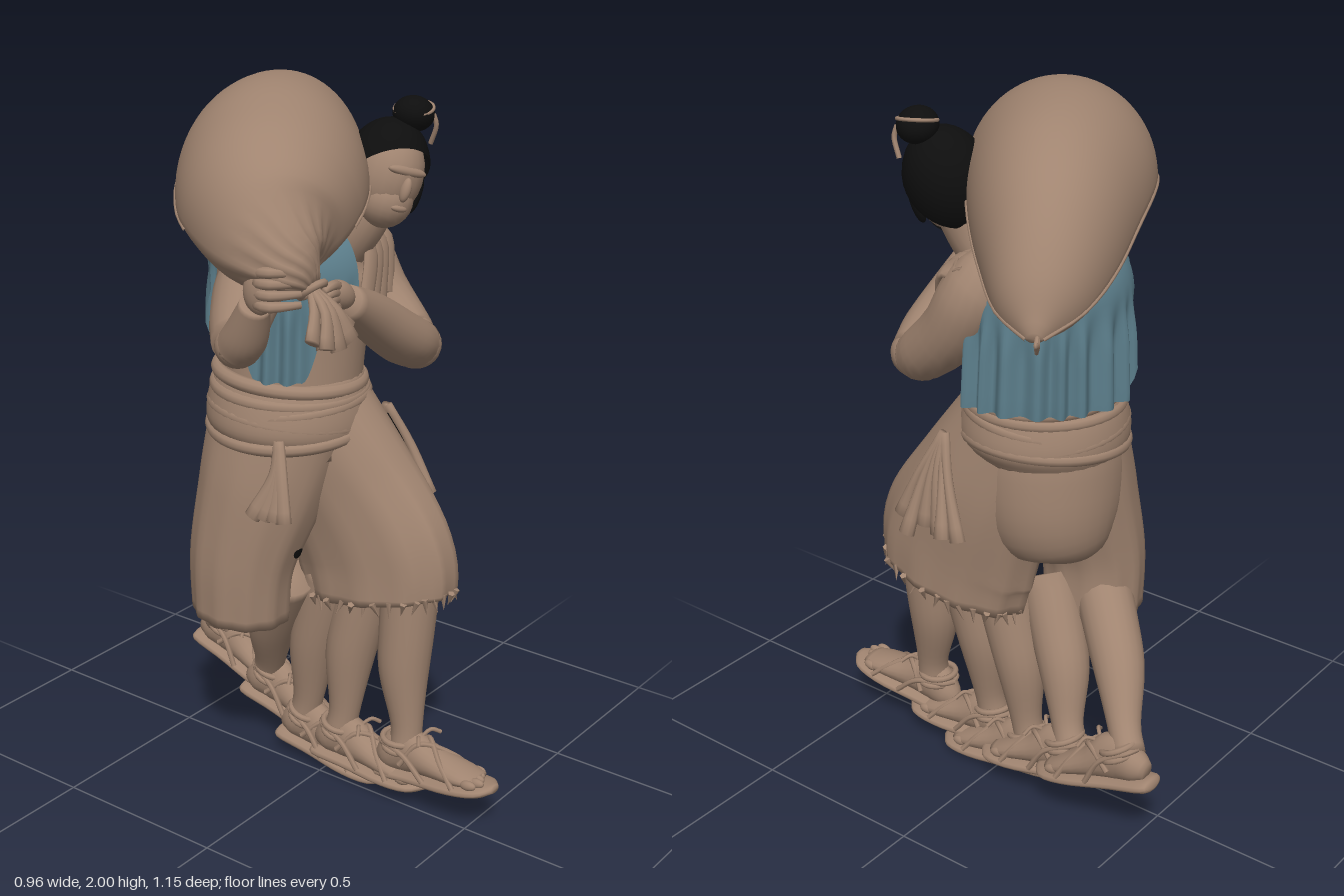
import * as THREE from 'three';

const V = (x, y, z) => new THREE.Vector3(x, y, z);
const brown = new THREE.MeshStandardMaterial({ color: 0xa08470 });
const black = new THREE.MeshStandardMaterial({ color: 0x0e0e0e, side: THREE.DoubleSide });
const blue = new THREE.MeshStandardMaterial({ color: 0x5b7d8a, side: THREE.DoubleSide });
brown.name = 'earth brown'; black.name = 'hair black'; blue.name = 'cloth blue';

const UP = V(0, 1, 0), FWD = V(0, 0, 1);

function add(parent, name, geometry, material = brown, pos, rot) {
  const m = new THREE.Mesh(geometry, material);
  m.name = name;
  if (pos) m.position.set(...pos);
  if (rot) m.rotation.set(...rot);
  parent.add(m);
  return m;
}
function ball(parent, name, pos, size, material = brown, rot) {
  return add(parent, name, new THREE.SphereGeometry(1, 20, 14).scale(...size), material, pos, rot);
}

// Surface point of a tube through sections [x, y, z, halfWidth, halfDepth]
function skin(sections, ref, mod = () => 1) {
  const path = new THREE.CatmullRomCurve3(sections.map(s => V(s[0], s[1], s[2])), false, 'catmullrom');
  const size = new THREE.CatmullRomCurve3(sections.map(s => V(s[3], s[4] ?? s[3], 0)), false, 'catmullrom');
  return (t, a) => {
    const c = path.getPoint(t), r = size.getPoint(t), d = path.getTangent(t);
    const s = ref.clone().cross(d).normalize(), u = d.clone().cross(s), k = mod(t, a);
    return c.addScaledVector(s, r.x * k * Math.cos(a)).addScaledVector(u, r.y * k * Math.sin(a));
  };
}
function loft(sections, { ref = FWD, sides = 20, steps = 16, mod } = {}) {
  const f = skin(sections, ref, mod), pos = [], idx = [];
  for (let k = 0; k <= steps; k++)
    for (let i = 0; i < sides; i++) pos.push(...f(k / steps, i / sides * Math.PI * 2).toArray());
  const last = sections[sections.length - 1], c0 = pos.length / 3, c1 = c0 + 1;
  pos.push(...sections[0].slice(0, 3), ...last.slice(0, 3));
  for (let i = 0; i < sides; i++) {
    const j = (i + 1) % sides, e = steps * sides;
    for (let k = 0; k < steps; k++) {
      const a = k * sides + i, b = k * sides + j;
      idx.push(a, b, a + sides, b, b + sides, a + sides);
    }
    idx.push(c0, j, i, c1, e + i, e + j);
  }
  return mesh(pos, idx);
}
function mesh(pos, idx) {
  const g = new THREE.BufferGeometry();
  g.setAttribute('position', new THREE.Float32BufferAttribute(pos, 3));
  g.setIndex(idx);
  g.computeVertexNormals();
  return g;
}
const cord = (pts, r) => new THREE.TubeGeometry(
  new THREE.CatmullRomCurve3(pts.map(p => p.isVector3 ? p : V(...p))), 24, r, 6);

function buildSack(root) {
  const sec = [[-.35, 1.58, .245, .03], [-.365, 1.615, .195, .1, .11], [-.335, 1.65, .12, .165, .19], [-.26, 1.695, .045, .22, .235],
    [-.15, 1.73, -.035, .243, .25], [-.03, 1.745, -.12, .238, .255], [.12, 1.715, -.21, .21, .255],
    [.26, 1.65, -.295, .165, .215], [.38, 1.595, -.36, .105, .125], [.455, 1.56, -.405, .02]];
  // domed top, flatter underside
  const mod = (t, a) => (Math.sin(a) < 0 ? 1 + .48 * Math.sin(a) : 1)
    * (1 + .07 * Math.sin(18 * a) * Math.max(0, 1 - t / .2));
  add(root, 'sack', loft(sec, { ref: UP, sides: 72, steps: 48, mod }));
  const f = skin(sec, UP, mod);
  for (const a of [0, Math.PI]) {
    const pts = [];
    for (let t = .3; t < 1.01; t += .05) pts.push(f(Math.min(t, 1), a));
    add(root, 'sackSeam', cord(pts, .005));
  }
  for (let i = 0; i < 3; i++)
    add(root, 'sackThread', cord([[.45, 1.57, -.41], [.46 + .005 * i, 1.555, -.42], [.44 + .015 * i, 1.52 + .015 * i, -.4 - .01 * i]], .005));
  // gathered frill and tie
  for (let i = 0; i < 7; i++) {
    const k = i / 3 - 1, lift = (i % 2) * .025;
    add(root, 'sackFrill', loft([[-.35, 1.58, .24, .012], [-.35 + .03 * k, 1.53, .275 + lift, .016, .012],
      [-.35 + .07 * k, 1.44 + .03 * k * k, .3 + lift, .028, .014]], { sides: 10, steps: 6 }));
  }
  add(root, 'sackTie', new THREE.TorusGeometry(.033, .01, 8, 20), brown, [-.35, 1.575, .245], [.9, 0, 0]);
}

function buildHead(root) {
  add(root, 'neck', loft([[.07, 1.54, -.02, .09], [.09, 1.62, .05, .078], [.115, 1.7, .09, .07]]));
  const h = new THREE.Group();
  h.name = 'head';
  h.position.set(.124, 1.752, .115);
  h.rotation.set(.1, -.38, -.25);
  root.add(h);
  ball(h, 'skull', [0, 0, 0], [.098, .125, .106]);
  ball(h, 'jaw', [0, -.06, .03], [.075, .075, .078]);
  ball(h, 'nose', [0, -.015, .106], [.014, .032, .016]);
  ball(h, 'brow', [0, .03, .09], [.06, .014, .016]);
  ball(h, 'mouth', [0, -.065, .1], [.026, .01, .012]);
  add(h, 'hair', new THREE.SphereGeometry(1, 32, 18, 0, Math.PI * 2, 0, Math.PI * .53)
    .rotateX(-.75).scale(.113, .145, .116), black);
  add(h, 'beard', new THREE.SphereGeometry(1, 28, 10, 0, Math.PI * 2, 0, Math.PI * .23)
    .rotateX(Math.PI - .35).scale(.1, .142, .118), black);
  ball(h, 'sideburn', [.087, -.03, .035], [.016, .055, .02], black);
  ball(root, 'topknot', [.185, 1.9, .16], [.055, .046, .054], black, [0, 0, -.25]);
  add(root, 'topknotTie', new THREE.TorusGeometry(.05, .005, 8, 28), brown, [.186, 1.914, .16], [Math.PI / 2 + .1, .2, 0]);
  add(root, 'topknotTieEnd', cord([[.215, 1.9, .2], [.222, 1.87, .205], [.228, 1.82, .185]], .007));
}

function buildTorso(root) {
  add(root, 'torso', loft([[0, 1, -.09, .19, .2], [0, 1.15, -.1, .185, .2], [.01, 1.3, -.1, .185, .205],
    [.03, 1.45, -.1, .21, .215], [.04, 1.54, -.09, .2, .195], [.06, 1.62, -.06, .13, .13], [.07, 1.65, -.04, .05]],
  { sides: 32, steps: 24 }));
  // pleated cloth around the back and over the right shoulder
  const pos = [], idx = [], nu = 160, nv = 16;
  const step = THREE.MathUtils.smoothstep;
  for (let i = 0; i <= nu; i++) {
    const a = -.18 + 4.68 * i / nu;
    const hem = 1.235 + .33 * step(a, 1.75, 2.15) - .32 * step(a, 3.1, 3.35) + .15 * step(a, 3.85, 4.1);
    for (let j = 0; j <= nv; j++) {
      const v = j / nv, y = THREE.MathUtils.lerp(1.635, hem, v), k = Math.min(1, (1.635 - y) / .13);
      const q = Math.sqrt(1 - (1 - k) ** 2), drop = Math.min(1, (1.635 - y) / .38);
      const fold = .014 * Math.sin(a * 24 + Math.sin(a * 7)) * (1 - step(y, 1.38, 1.52));
      pos.push(.03 + (.13 + .095 * q + fold + .03 * drop) * Math.cos(a), y, -.1 - (.13 + .11 * q + fold + .016 * drop) * Math.sin(a));
      if (i < nu && j < nv) {
        const p = i * (nv + 1) + j;
        idx.push(p, p + 1, p + nv + 1, p + 1, p + nv + 2, p + nv + 1);
      }
    }
  }
  add(root, 'shoulderCloth', mesh(pos, idx), blue);
  // folded towel on the left shoulder
  for (let i = 0; i < 4; i++)
    add(root, 'towelFold', loft([[.15 + .03 * i, 1.61 - .012 * i, -.05, .03, .01], [.11 + .04 * i, 1.56, .08 - .012 * i, .032, .011],
      [.03 + .046 * i, 1.42, .128 - .01 * i, .029, .01]], { sides: 10, steps: 10 }));
}

function buildArms(root) {
  add(root, 'leftUpperArm', loft([[.12, 1.57, -.07, .075], [.205, 1.52, -.045, .092], [.22, 1.4, .03, .084],
    [.21, 1.31, .13, .074], [.195, 1.29, .17, .064]]));
  ball(root, 'leftElbow', [.185, 1.288, .18], [.07, .066, .07]);
  add(root, 'leftForearm', loft([[.2, 1.285, .18, .064], [.1, 1.33, .195, .08, .07], [-.06, 1.43, .21, .063], [-.2, 1.51, .235, .042]], { ref: UP }));
  ball(root, 'leftPalm', [-.235, 1.535, .24], [.055, .035, .03], brown, [0, 0, -.5]);
  add(root, 'rightUpperArm', loft([[-.08, 1.51, -.1, .085], [-.18, 1.49, -.08, .092], [-.3, 1.44, -.02, .078], [-.39, 1.41, .04, .062]], { ref: UP }));
  ball(root, 'rightElbow', [-.395, 1.408, .05], [.058, .056, .058]);
  add(root, 'rightForearm', loft([[-.395, 1.405, .05, .057], [-.41, 1.45, .09, .056], [-.435, 1.54, .14, .038]]));
  ball(root, 'rightPalm', [-.445, 1.575, .16], [.026, .055, .045]);
  for (let i = 0; i < 4; i++) {
    add(root, 'leftFinger', loft([[-.25, 1.56 - .016 * i, .245, .014], [-.295, 1.575 - .018 * i, .262, .013], [-.33, 1.57 - .018 * i, .265, .008]],
      { ref: UP, sides: 8, steps: 6 }));
    add(root, 'rightFinger', loft([[-.455, 1.55 + .026 * i, .16, .014], [-.46, 1.55 + .028 * i, .205, .014], [-.4, 1.55 + .026 * i, .25, .009]],
      { ref: UP, sides: 8, steps: 6 }));
  }
}

function buildShorts(root) {
  const ripple = (t, a) => 1 + .03 * t * Math.sin(11 * a);
  const opts = { sides: 44, steps: 18, mod: ripple };
  add(root, 'leftShortsLeg', loft([[.04, 1.1, -.08, .155, .2], [.075, .9, .035, .15, .22], [.085, .72, .12, .138, .25], [.085, .595, .145, .138, .235]], opts));
  add(root, 'rightShortsLeg', loft([[-.04, 1.1, -.1, .155, .21], [-.085, .9, -.13, .155, .185], [-.13, .7, -.165, .128, .155], [-.13, .52, -.175, .125, .14]], opts));
  add(root, 'seat', loft([[0, 1.12, -.11, .19, .2], [0, 1, -.115, .205, .205], [.01, .86, -.13, .19, .185], [.0, .76, -.14, .13, .14], [0, .71, -.14, .03]],
    { sides: 32 }));
  for (let i = 0; i < 36; i++) {
    const a = i / 36 * Math.PI * 2;
    add(root, 'frayedHem', new THREE.ConeGeometry(.01, .045, 5), brown,
      [.085 + .138 * Math.cos(a), .585 + .045 * Math.sin(a), .145 + .23 * Math.sin(a)], [Math.PI + .4 * Math.sin(i * 5), 0, .4 * Math.cos(i * 3)]);
  }
  // wrapped sash
  add(root, 'sashBand', loft([[0, 1.04, -.1, .2, .21], [0, 1.09, -.1, .225, .228], [0, 1.16, -.1, .212, .222], [0, 1.225, -.1, .185, .2]], { sides: 40 }));
  for (let i = 0; i < 5; i++)
    add(root, 'sashWrap', new THREE.TorusGeometry(1, .1, 10, 56).rotateX(Math.PI / 2).scale(.208 - .005 * i, .2, .213 - .004 * i), brown,
      [0, 1.075 + .033 * i, -.1], [.09 * Math.sin(i * 2.2), 0, .1 * Math.cos(i * 2.6)]);
  // hanging sash ends on both hips
  for (let i = 0; i < 6; i++) {
    const k = i / 5;
    add(root, 'leftSashEnd', loft([[.2, 1.09, .08, .012, .016], [.235, .97, .04 + .1 * k, .014, .012],
      [.262 + .02 * Math.sin(i * 2), .82 + .03 * Math.sin(i * 3), -.01 + .2 * k, .018, .024]], { sides: 10, steps: 8 }));
    if (i < 4) add(root, 'rightSashEnd', loft([[-.2, 1.09, .02, .012, .016], [-.23, 1, .03 + .03 * k, .014, .022],
      [-.265 + .02 * k, .89, -.02 + .16 * k, .016, .024]], { sides: 10, steps: 8 }));
  }
  // dark gaps between the folds
  add(root, 'sashFoldGap', loft([[.2, 1.07, .08, .01, .012], [.23, .97, .09, .01, .055], [.243, .9, .09, .004, .06]], { sides: 12, steps: 8 }), black);
  ball(root, 'shortsFoldGap', [-.1, .77, .0], [.028, .055, .01], black);
}

// One sandalled foot: ankle above the origin, toes to +z
function buildFoot(root, pos, pitch) {
  const f = new THREE.Group();
  f.name = 'sandalledFoot';
  f.position.set(...pos);
  f.rotation.x = pitch;
  root.add(f);
  add(f, 'sole', loft([[0, .015, -.09, .02, .01], [0, .015, -.07, .047, .02], [0, .015, .04, .054, .02], [0, .015, .17, .068, .02],
    [0, .017, .26, .058, .018], [0, .022, .3, .02, .01]], { ref: UP, sides: 16 }));
  add(f, 'foot', loft([[0, .05, -.075, .022, .025], [0, .065, -.04, .042, .05], [0, .085, .02, .045, .07], [0, .065, .1, .05, .045],
    [0, .045, .2, .055, .027], [0, .04, .25, .04, .014]], { ref: UP }));
  for (let i = 0; i < 5; i++) ball(f, 'toe', [-.044 + .022 * i, .04, .255 - .012 * Math.abs(i - 1)], [.012, .014, .025]);
  for (const s of [-1, 1]) {
    add(f, 'crossStrap', cord([[s * .06, .025, .2], [s * .035, .078, .15], [-s * .025, .122, .08], [-s * .05, .06, .02]], .008));
    add(f, 'sideStrap', cord([[s * .058, .025, .1], [s * .052, .09, .04], [s * .03, .115, -.045], [0, .115, -.06]], .008));
    add(f, 'strapEnd', cord([[0, .12, .06], [s * .03, .145, .085], [s * .055, .13, .1]], .006));
  }
  for (const y of [.095, .12])
    add(f, 'ankleWrap', new THREE.TorusGeometry(.05, .009, 8, 20), brown, [0, y, 0], [Math.PI / 2 + .2, 0, 0]);
}

export function createModel() {
  const root = new THREE.Group();
  root.name = 'sackCarrier';
  buildSack(root);
  buildHead(root);
  buildTorso(root);
  buildArms(root);
  buildShorts(root);
  // striding legs: knee, foot position, foot pitch
  const legs = [[[.07, .66, .26], [.03, .075, .28], -.15], [[.08, .66, .12], [.035, .045, .05], 0],
    [[.06, .64, .01], [.06, .03, -.1], .1], [[-.03, .62, -.09], [.1, .1, -.27], .17], [[-.13, .64, -.19], [.14, .185, -.49], .27]];
  for (const [knee, foot, pitch] of legs) {
    const at = (k, dz, r) => [...knee.map((v, i) => v + (foot[i] + (i === 1 ? .1 : 0) - v) * k + (i === 2 ? dz : 0)), r];
    add(root, 'shin', loft([at(0, 0, .08), at(.3, -.01, .077), at(.55, -.015, .07), at(.85, 0, .046), at(1, 0, .045)]));
    buildFoot(root, foot, pitch);
  }
  return root;
}
